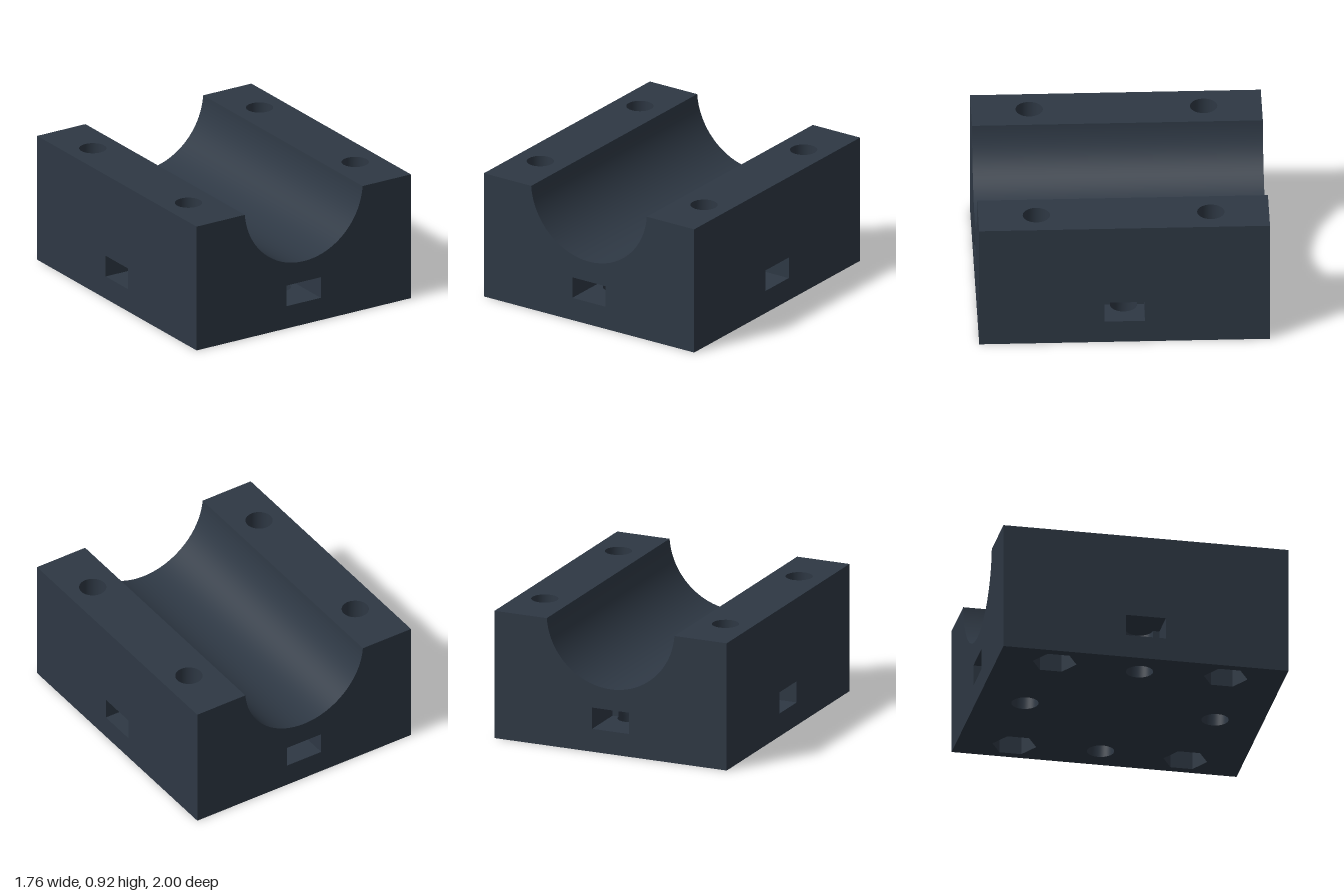
import * as THREE from 'three';
import { toCreasedNormals } from 'three/addons/utils/BufferGeometryUtils.js';

const W = 0.88, H = 0.917, D = 1;              // half width, height, half depth
const GROOVE_R = 0.485, GROOVE_Y = 0.953;      // bearing groove
const BOLT_X = 0.685, BOLT_Z = 0.6, HOLE_R = 0.094;
const HEX_R = 0.153, HEX_DEPTH = 0.2;
const SLOT_W = 0.14, SLOT_Y0 = 0.165, SLOT_Y1 = 0.318;

const arc = (cx, cy, r, from, to, n) => Array.from({ length: n + 1 }, (_, i) => {
  const t = from + (to - from) * i / n;
  return new THREE.Vector2(cx + r * Math.cos(t), cy + r * Math.sin(t));
});
const circle = (x, y, r = HOLE_R) => arc(x, y, r, 0, Math.PI * 2, 40);
const hexagon = (x, y) => arc(x, y, HEX_R, Math.PI / 6, Math.PI * 13 / 6, 6);
const rect = (x0, y0, x1, y1) =>
  [[x0, y0], [x1, y0], [x1, y1], [x0, y1]].map(p => new THREE.Vector2(...p));

// Flat face from an outline with holes, facing +z
function face(outline, holes = []) {
  const shape = new THREE.Shape(outline);
  shape.holes = holes.map(h => new THREE.Path(h));
  return new THREE.ShapeGeometry(shape);
}
// Horizontal faces: outlines are given in x, z
const faceDown = (outline, holes, y) => face(outline, holes).rotateX(Math.PI / 2).translate(0, y, 0);
const faceUp = (outline, holes, y) =>
  face(outline, holes).rotateX(-Math.PI / 2).rotateY(Math.PI).translate(0, y, 0);

// Upright wall along a counterclockwise x, z path, facing inwards
function wall(path, y0, y1) {
  const v = [];
  for (let i = 0; i < path.length - 1; i++) {
    const a = path[i], b = path[i + 1];
    v.push(a.x, y0, a.y, b.x, y0, b.y, b.x, y1, b.y);
    v.push(a.x, y0, a.y, b.x, y1, b.y, a.x, y1, a.y);
  }
  const g = new THREE.BufferGeometry();
  g.setAttribute('position', new THREE.Float32BufferAttribute(v, 3));
  g.computeVertexNormals();
  return toCreasedNormals(g, 0.6);
}

export function createModel() {
  const model = new THREE.Group();
  model.name = 'bearingBlock';
  const material = new THREE.MeshStandardMaterial({ color: 0x2e3844, side: THREE.DoubleSide });
  material.name = 'slate';
  const add = (name, geometry, parent = model) => {
    const mesh = new THREE.Mesh(geometry, material);
    mesh.name = name;
    parent.add(mesh);
    return mesh;
  };

  // End faces with the groove cut out of the top
  const a = Math.asin((GROOVE_Y - H) / GROOVE_R);
  const endOutline = [
    new THREE.Vector2(-W, 0), new THREE.Vector2(W, 0), new THREE.Vector2(W, H),
    ...arc(0, GROOVE_Y, GROOVE_R, -a, -Math.PI + a, 64), new THREE.Vector2(-W, H),
  ];
  const slotMouth = rect(-SLOT_W, SLOT_Y0, SLOT_W, SLOT_Y1);
  const sideOutline = rect(-D, 0, D, H);
  [0, 1].forEach(i => {
    add(i ? 'backFace' : 'frontFace',
      face(endOutline, [slotMouth]).translate(0, 0, D).rotateY(i * Math.PI));
    add(i ? 'rightFace' : 'leftFace',
      face(sideOutline, [slotMouth]).translate(0, 0, W).rotateY(Math.PI / 2 + i * Math.PI));
  });

  // Groove running front to back
  add('groove', wall(arc(0, -GROOVE_Y, GROOVE_R, a, Math.PI - a, 64), -D, D).rotateX(Math.PI / 2));

  // Top lands beside the groove
  const edge = GROOVE_R * Math.cos(a);
  const land = rect(edge, -D, W, D);
  const landHoles = [-1, 1].map(s => circle(BOLT_X, s * BOLT_Z));
  add('rightLand', faceUp(land, landHoles, H));
  add('leftLand', faceUp(land, landHoles, H).rotateY(Math.PI));

  // Bolt holes with hexagonal nut pockets underneath
  const bottomHoles = [];
  for (const x of [-BOLT_X, BOLT_X]) for (const z of [-BOLT_Z, BOLT_Z]) {
    bottomHoles.push(hexagon(x, z));
    add('boltHole', wall(circle(x, z), HEX_DEPTH, H));
    add('nutPocket', wall(hexagon(x, z), 0, HEX_DEPTH));
    add('nutSeat', faceDown(hexagon(x, z), [circle(x, z)], HEX_DEPTH));
  }

  // Nut slots in each side, met by a screw hole from below
  for (let i = 0; i < 4; i++) {
    const alongX = i % 2 === 1;
    const centre = alongX ? 0.66 : 0.667;
    const length = (alongX ? W : D) - centre;
    const corner = (x, z) => new THREE.Vector2(x, z);
    const left = [corner(-SLOT_W, length), corner(-SLOT_W, 0)];
    const right = [corner(SLOT_W, 0), corner(SLOT_W, length)];
    const cavity = [...left, ...arc(0, 0, HOLE_R, Math.PI, Math.PI * 2, 20), ...right];
    const floor = [...left, ...arc(0, 0, HOLE_R, Math.PI, 0, 20), ...right];

    const slot = new THREE.Group();
    slot.name = 'nutSlot';
    add('slotWalls', wall(cavity, SLOT_Y0, SLOT_Y1), slot);
    add('slotCeiling', faceDown(cavity, [], SLOT_Y1), slot);
    add('slotFloor', faceUp(floor, [], SLOT_Y0), slot);
    add('screwHole', wall(circle(0, 0), 0, SLOT_Y0), slot);
    const turn = i * Math.PI / 2;
    const x = Math.sin(turn) * centre, z = Math.cos(turn) * centre;
    slot.rotation.y = turn;
    slot.position.set(x, 0, z);
    model.add(slot);
    bottomHoles.push(circle(x, z));
  }

  // Underside
  add('underside', faceDown(rect(-W, -D, W, D), bottomHoles, 0));
  return model;
}
